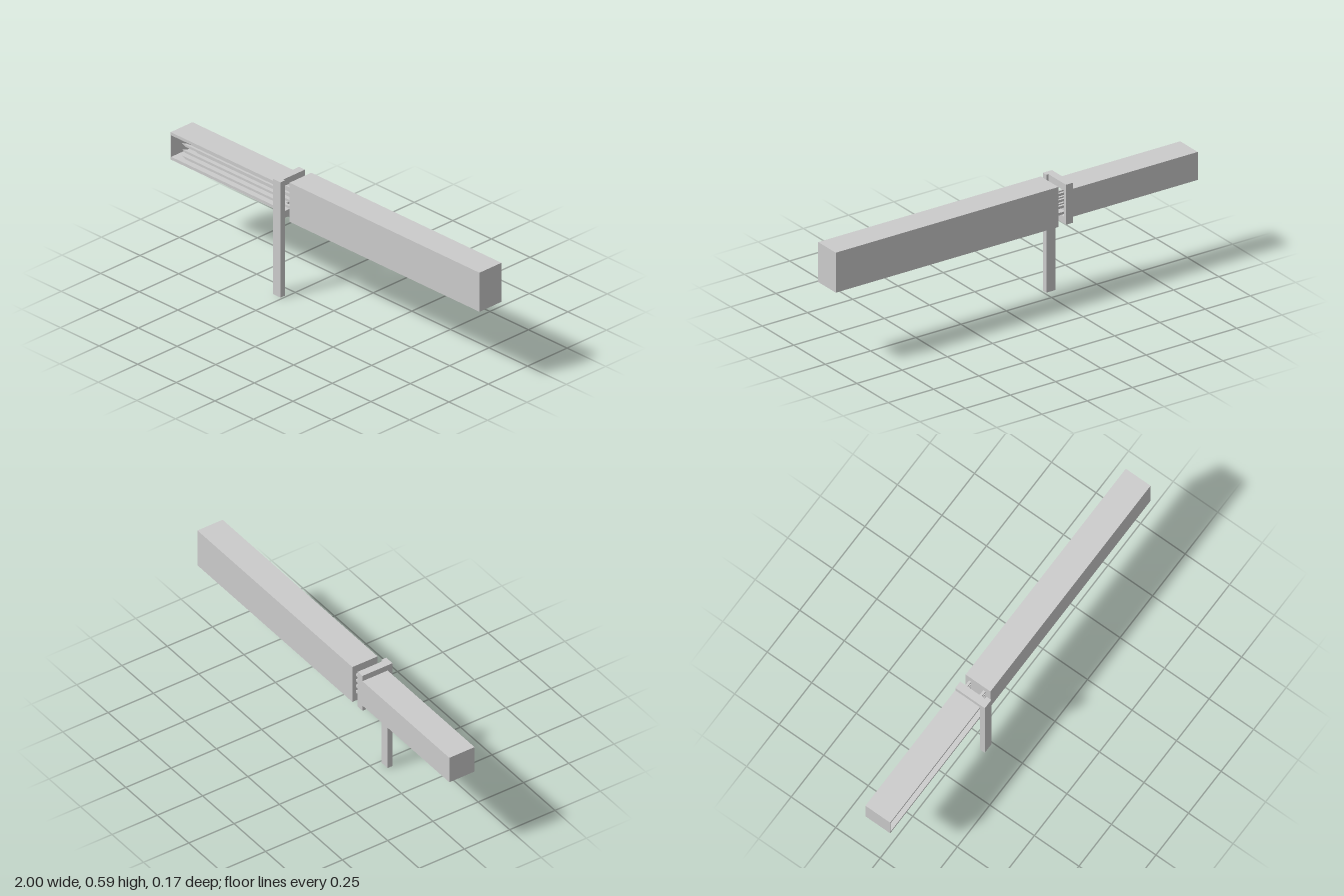
import * as THREE from 'three';

const material = new THREE.MeshStandardMaterial({ color: 0xcccccc, flatShading: true });

// Box given by its min/max extents on each axis
function box(name, [x0, x1], [y0, y1], [z0, z1]) {
  const mesh = new THREE.Mesh(new THREE.BoxGeometry(x1 - x0, y1 - y0, z1 - z0), material);
  mesh.name = name;
  mesh.position.set((x0 + x1) / 2, (y0 + y1) / 2, (z0 + z1) / 2);
  return mesh;
}

// Square rod along x with a pyramid tip at its -x end
function makePin(y, z) {
  const pin = new THREE.Group();
  pin.name = 'pin';
  const half = 0.006, tip = 0.025, start = -0.96, end = -0.22;
  pin.add(box('pinShaft', [start + tip, end], [y - half, y + half], [z - half, z + half]));
  const cone = new THREE.ConeGeometry(half * Math.SQRT2, tip, 4, 1, true);
  cone.rotateY(Math.PI / 4).rotateZ(Math.PI / 2);
  const point = new THREE.Mesh(cone, material);
  point.name = 'pinTip';
  point.position.set(start + tip / 2, y, z);
  pin.add(point);
  return pin;
}

export function createModel() {
  const model = new THREE.Group();
  model.name = 'pinnedBlock';
  const back = -0.083, front = 0.056, wall = 0.015;
  const depth = [back, front];

  // Long solid block
  model.add(box('mainBlock', [-0.23, 1], [0.39, 0.59], depth));

  // Hollow cover, open at the front and towards the collar
  const cover = new THREE.Group();
  cover.name = 'cover';
  const span = [-1, -0.31];
  cover.add(
    box('coverTop', span, [0.56 - wall, 0.56], depth),
    box('coverBottom', span, [0.42, 0.42 + wall], depth),
    box('coverBack', span, [0.42 + wall, 0.56 - wall], [back, back + wall]),
    box('coverEnd', [-1, -0.996], [0.42 + wall, 0.56 - wall], [back + wall, front])
  );
  model.add(cover);

  // Collar framing the mouth of the cover
  const collar = new THREE.Group();
  collar.name = 'collar';
  const rim = [-0.31, -0.272];
  collar.add(
    box('collarTop', rim, [0.555, 0.59], depth),
    box('collarBottom', rim, [0.39, 0.425], depth),
    box('collarBack', rim, [0.425, 0.555], [back, back + wall])
  );
  model.add(collar);

  // Upright post fixed to the front of the collar
  model.add(box('post', [-0.31, -0.26], [0, 0.59], [front, 0.083]));

  // Two columns of pointed pins
  const pins = new THREE.Group();
  pins.name = 'pins';
  for (const z of [-0.058, 0.022]) {
    for (let i = 0; i < 4; i++) pins.add(makePin(0.442 + i * 0.032, z));
  }
  model.add(pins);

  return model;
}
